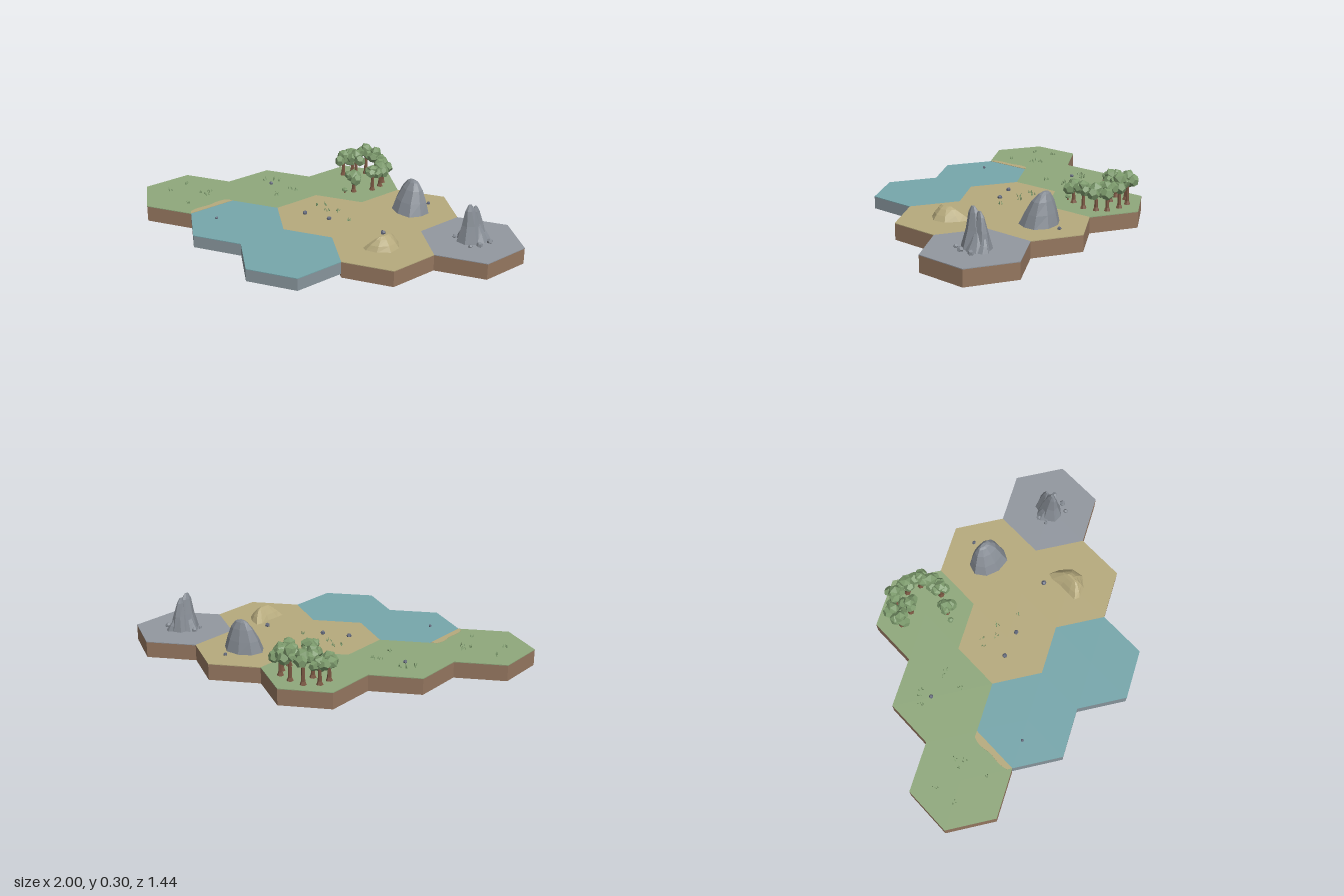
import * as THREE from 'three';

const mat = (name, color) => {
  const m = new THREE.MeshStandardMaterial({ color, flatShading: true, side: THREE.DoubleSide });
  m.name = name;
  return m;
};
const M = {
  grass: mat('grass', 0x8fa87c),
  sand: mat('sand', 0xb6aa7d),
  gravel: mat('gravel', 0x92979f),
  water: mat('water', 0x76a6ab),
  basin: mat('basin', 0x87949b),
  earth: mat('earth', 0x94765f),
  bark: mat('bark', 0x7a5742),
  leaf: mat('leaf', 0x7c9a6c),
  rock: mat('rock', 0x868c94),
  pebble: mat('pebble', 0x62687a),
};
const TOP = 0.094, R = 0.5 / Math.sqrt(3), ROW = 0.433;

// Small seeded generator
let seed = 7;
const rnd = () => (seed = (seed * 16807) % 2147483647) / 2147483647;
const jit = (a) => (rnd() - 0.5) * 2 * a;

function add(parent, name, geo, material, x = 0, y = 0, z = 0) {
  const m = new THREE.Mesh(geo, material);
  m.name = name;
  m.position.set(x, y, z);
  parent.add(m);
  return m;
}

// Faceted mound lofted through rings [y, x, z, radiusX, radiusZ]; bend curves it into a crescent
function mound(rings, n, rough, bend = 0) {
  const wob = Array.from({ length: n }, () => 1 + jit(rough));
  const pos = [], idx = [];
  rings.forEach(([y, x, z, rx, rz]) => {
    for (let i = 0; i < n; i++) {
      const a = (i / n) * Math.PI * 2 + 0.2, w = wob[i] * (1 + jit(rough * 0.4));
      const dz = Math.sin(a) * rz * w;
      pos.push(x + Math.cos(a) * rx * w - bend * dz * dz, y, z + dz);
    }
  });
  for (let r = 0; r < rings.length - 1; r++) {
    for (let i = 0; i < n; i++) {
      const a = r * n + i, b = r * n + (i + 1) % n;
      idx.push(b, a, a + n, b, a + n, b + n);
    }
  }
  const last = (rings.length - 1) * n;
  for (let i = 1; i < n - 1; i++) idx.push(last, last + i + 1, last + i);
  const g = new THREE.BufferGeometry();
  g.setAttribute('position', new THREE.Float32BufferAttribute(pos, 3));
  g.setIndex(idx);
  g.computeVertexNormals();
  return g;
}

// One hexagonal tile: thick body and thin coloured top
function tile(parent, name, x, z, top, body, bottom) {
  const g = new THREE.Group();
  g.name = name;
  const h = 0.09 - bottom;
  add(g, 'tileBody', new THREE.CylinderGeometry(R, R, h, 6), body, x, bottom + h / 2, z);
  add(g, 'tileTop', new THREE.CylinderGeometry(R, R, TOP - 0.09, 6), top, x, (TOP + 0.09) / 2, z);
  parent.add(g);
}

// Tree: tapered trunk with root flare and a few angular leaf clumps
function tree(parent, x, z, h) {
  const g = new THREE.Group();
  g.name = 'tree';
  const t = h * 0.65;
  add(g, 'trunk', new THREE.CylinderGeometry(0.008, 0.012, t, 6), M.bark, 0, t / 2, 0);
  add(g, 'roots', new THREE.CylinderGeometry(0.011, 0.019, 0.02, 6), M.bark, 0, 0.01, 0);
  const a0 = rnd() * 6.28;
  for (let i = 0; i < 4; i++) {
    const a = a0 + i * 2.1, top = i === 3, d = top ? 0 : 0.029, r = (top ? 0.042 : 0.035) + jit(0.005);
    const c = add(g, 'leaves', i % 2 ? new THREE.IcosahedronGeometry(r) : new THREE.DodecahedronGeometry(r),
      M.leaf, Math.cos(a) * d, top ? h - 0.035 : h * 0.68 + jit(0.015), Math.sin(a) * d);
    c.rotation.set(rnd() * 3, rnd() * 3, rnd() * 3);
    c.scale.y = 0.85;
  }
  g.position.set(x, TOP, z);
  parent.add(g);
}

// Tuft: a few thin pointed blades
function tuft(parent, x, z) {
  for (let i = 0; i < 4; i++) {
    const b = add(parent, 'blade', new THREE.ConeGeometry(0.004, 0.02, 3), M.leaf,
      x + jit(0.014), TOP + 0.009, z + jit(0.014));
    b.rotation.set(jit(0.4), rnd() * 3, jit(0.4));
  }
}

function stone(parent, x, z, r, material) {
  const s = add(parent, 'stone', new THREE.DodecahedronGeometry(r), material, x, TOP + r * 0.4, z);
  s.rotation.set(rnd() * 3, rnd() * 3, 0);
}

export function createModel() {
  seed = 7;
  const model = new THREE.Group();
  model.name = 'hexTerrain';

  // Ground tiles
  [
    ['grassTile', -0.25, -1, M.grass], ['sandTile', 0.25, -1, M.sand], ['gravelTile', 0.75, -1, M.gravel],
    ['grassTile', -0.5, 0, M.grass], ['sandTile', 0, 0, M.sand], ['sandTile', 0.5, 0, M.sand],
    ['grassTile', -0.75, 1, M.grass],
  ].forEach(([n, x, row, m]) => tile(model, n, x, row * ROW, m, M.earth, 0));
  [-0.25, 0.25].forEach((x) => tile(model, 'waterTile', x, ROW, M.water, M.basin, 0.022));

  // Beach strip along the shore
  const beach = new THREE.Shape();
  beach.moveTo(-0.5, -0.289);
  beach.lineTo(-0.5, -0.577);
  beach.lineTo(-0.525, -0.563);
  beach.bezierCurveTo(-0.55, -0.5, -0.525, -0.46, -0.535, -0.41);
  beach.bezierCurveTo(-0.55, -0.36, -0.54, -0.32, -0.53, -0.305);
  const strip = new THREE.ExtrudeGeometry(beach, { depth: 0.003, bevelEnabled: false });
  add(model, 'beach', strip, M.sand, 0, TOP - 0.001, 0).rotation.x = -Math.PI / 2;

  // Broad mountain
  add(model, 'broadMountain', mound([
    [TOP - 0.005, 0.253, -0.438, 0.122, 0.098], [0.16, 0.25, -0.445, 0.098, 0.074],
    [0.225, 0.25, -0.455, 0.07, 0.046], [0.262, 0.247, -0.462, 0.04, 0.022], [0.272, 0.242, -0.464, 0.02, 0.01],
  ], 9, 0.07), M.rock);

  // Spire mountain with leaning side shards
  const spire = new THREE.Group();
  spire.name = 'spireMountain';
  model.add(spire);
  [
    [0.742, -0.422, 0.072, 0.085, 0.303], [0.745, -0.465, 0.055, 0.062, 0.285],
    [0.70, -0.43, 0.045, 0.05, 0.19], [0.785, -0.46, 0.042, 0.055, 0.2], [0.775, -0.5, 0.035, 0.035, 0.165],
  ].forEach(([x, z, rx, rz, y]) => {
    const px = x + (0.738 - x) * 0.5, h = y - TOP;
    add(spire, 'shard', mound([
      [TOP - 0.005, x, z, rx, rz], [TOP + h * 0.45, (x + px) / 2, z, rx * 0.58, rz * 0.65],
      [TOP + h * 0.85, px, z + 0.008, rx * 0.28, rz * 0.4], [y, px, z + 0.012, rx * 0.1, rz * 0.15],
    ], 7, 0.12), M.rock);
  });
  [[0.835, -0.48, 0.017], [0.832, -0.405, 0.018], [0.81, -0.355, 0.013], [0.662, -0.435, 0.015], [0.67, -0.38, 0.012]]
    .forEach(([x, z, r]) => stone(spire, x, z, r, M.rock));

  // Crescent dune
  add(model, 'dune', mound([
    [TOP - 0.003, 0.522, -0.005, 0.072, 0.118], [0.122, 0.52, -0.005, 0.05, 0.09],
    [0.15, 0.518, -0.003, 0.024, 0.058], [0.163, 0.514, 0, 0.007, 0.034],
  ], 10, 0.05, 4), M.sand);

  // Grove, curving round the back of its tile
  [
    [-0.39, -0.475, 0.165], [-0.385, -0.545, 0.155], [-0.32, -0.6, 0.195], [-0.235, -0.605, 0.2],
    [-0.15, -0.585, 0.17], [-0.115, -0.535, 0.155], [-0.1, -0.46, 0.165], [-0.15, -0.355, 0.135],
    [-0.30, -0.5, 0.19],
  ].forEach(([x, z, h]) => tree(model, x, z, h));
  const bush = add(model, 'bush', new THREE.DodecahedronGeometry(0.018), M.leaf, -0.17, TOP + 0.02, -0.3);
  bush.scale.y = 0.7;
  add(model, 'bushStem', new THREE.CylinderGeometry(0.004, 0.006, 0.02, 5), M.bark, -0.17, TOP + 0.008, -0.3);

  // Grass tufts
  const tufts = new THREE.Group();
  tufts.name = 'tufts';
  model.add(tufts);
  [
    [-0.88, 0.37], [-0.71, 0.38], [-0.69, 0.32], [-0.86, 0.5], [-0.63, 0.51], [-0.66, 0.36], [-0.6, -0.09],
    [-0.63, -0.04], [-0.42, -0.09], [-0.39, -0.1], [-0.4, 0.04], [-0.57, -0.1], [-0.13, -0.06],
    [-0.11, -0.1], [-0.04, -0.05], [0.01, -0.1], [0.15, -0.06],
  ].forEach(([x, z]) => tuft(tufts, x, z));

  // Scattered pebbles
  [
    [-0.555, -0.035, 0.012], [0.06, 0.01, 0.014], [-0.085, 0.07, 0.014], [0.39, -0.105, 0.015],
    [0.3, -0.51, 0.015], [0.265, -0.577, 0.011], [-0.352, 0.5, 0.009],
  ].forEach(([x, z, r]) => stone(model, x, z, r, M.pebble));

  return model;
}
